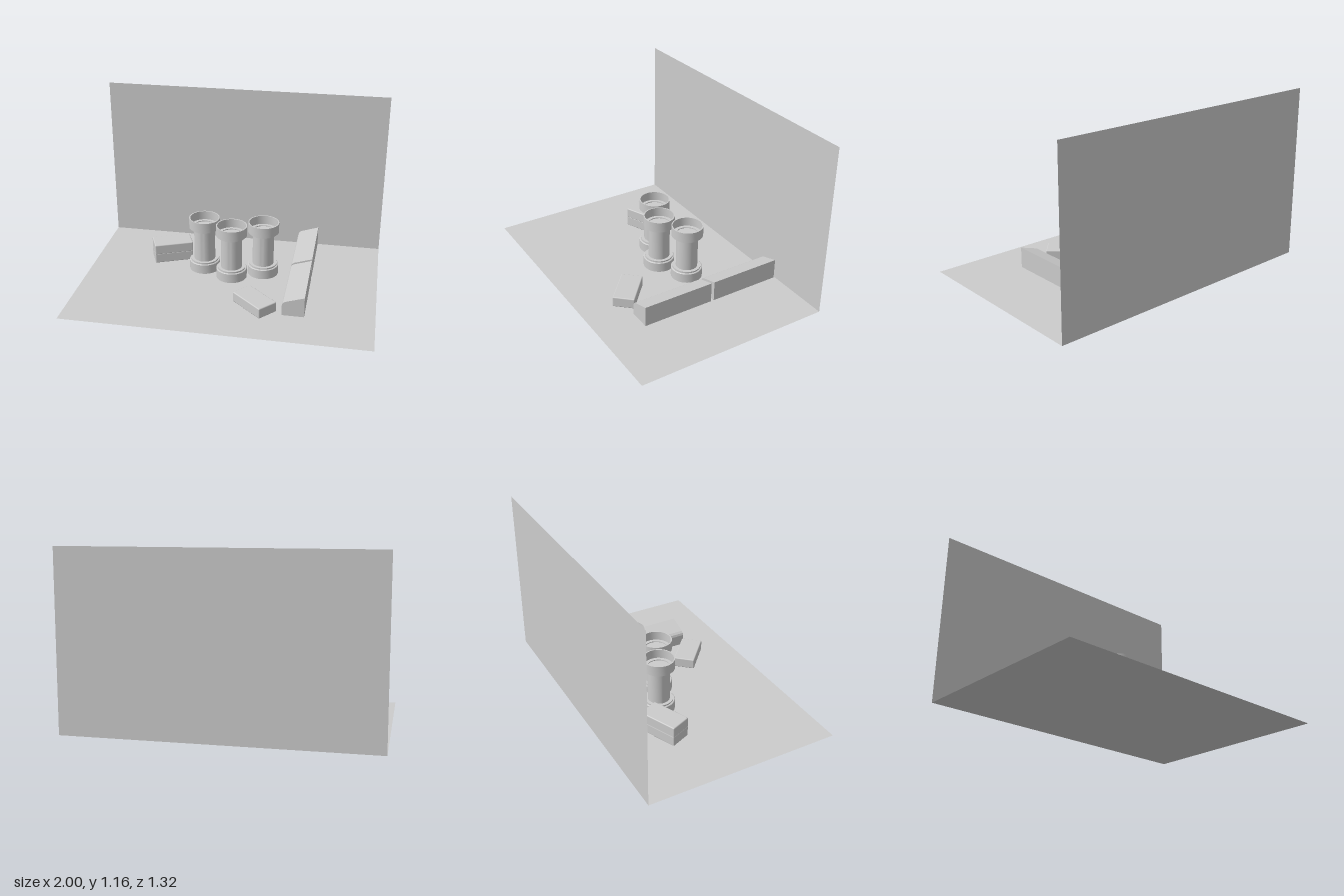
import * as THREE from 'three';
import { RoundedBoxGeometry } from 'three/addons/geometries/RoundedBoxGeometry.js';
import { toCreasedNormals } from 'three/addons/utils/BufferGeometryUtils.js';

const grey = new THREE.MeshStandardMaterial({ color: 0xcccccc });
const sheet = new THREE.MeshStandardMaterial({ color: 0xcccccc, side: THREE.DoubleSide });

function addMesh(parent, name, geometry, material = grey) {
  const mesh = new THREE.Mesh(geometry, material);
  mesh.name = name;
  parent.add(mesh);
  return mesh;
}

function turned(profile) {
  const points = profile.map(([r, y]) => new THREE.Vector2(r, y));
  return toCreasedNormals(new THREE.LatheGeometry(points, 48), 0.5);
}

// Round post with a wide foot, a plain shaft and an open cup on top
function createPost() {
  const post = new THREE.Group();
  post.name = 'post';
  addMesh(post, 'foot', turned([
    [0, 0.002], [0.106, 0.002], [0.106, 0.068], [0.102, 0.071],
    [0.095, 0.071], [0.095, 0.081], [0.073, 0.081],
  ]), sheet);
  addMesh(post, 'shaft', turned([[0.073, 0.075], [0.073, 0.315]]), sheet);
  addMesh(post, 'cup', turned([
    [0.073, 0.31], [0.095, 0.31], [0.095, 0.32], [0.106, 0.32], [0.106, 0.39],
    [0.098, 0.39], [0.098, 0.328], [0.075, 0.328], [0.075, 0.322], [0, 0.322],
  ]), sheet);
  return post;
}

export function createModel() {
  const model = new THREE.Group();
  model.name = 'postsAndBlocksScene';

  // Ground sheet and upright back sheet
  const floor = addMesh(model, 'floor', new THREE.PlaneGeometry(2, 1.32), sheet);
  floor.rotation.x = -Math.PI / 2;
  const wall = addMesh(model, 'backWall', new THREE.PlaneGeometry(2, 1.165), sheet);
  wall.position.set(0, 0.5825, -0.66);

  // Three posts in a shallow V
  for (const [x, z] of [[-0.207, -0.168], [0, -0.077], [0.207, -0.168]]) {
    const post = createPost();
    post.position.set(x, 0, z);
    model.add(post);
  }

  // Kerb stones: low sloping section run along z
  const section = new THREE.Shape([
    [0.405, 0.001], [0.55, 0.001], [0.55, 0.141], [0.425, 0.101], [0.411, 0.09], [0.405, 0.075],
  ].map(([x, y]) => new THREE.Vector2(x, y)));
  for (const z of [-0.652, -0.133]) {
    const kerb = addMesh(model, 'kerbStone',
      new THREE.ExtrudeGeometry(section, { depth: 0.497, bevelEnabled: false }));
    kerb.position.z = z;
  }

  // Bricks: a stack of two and one loose
  const brickShape = new RoundedBoxGeometry(0.272, 0.072, 0.146, 2, 0.007);
  for (const [x, y, z, turn] of [
    [-0.465, 0.041, -0.268, 0.4],
    [-0.465, 0.107, -0.268, 0.4],
    [0.218, 0.041, 0.298, -0.735],
  ]) {
    const brick = addMesh(model, 'brick', brickShape);
    brick.position.set(x, y, z);
    brick.rotation.y = turn;
  }

  return model;
}
